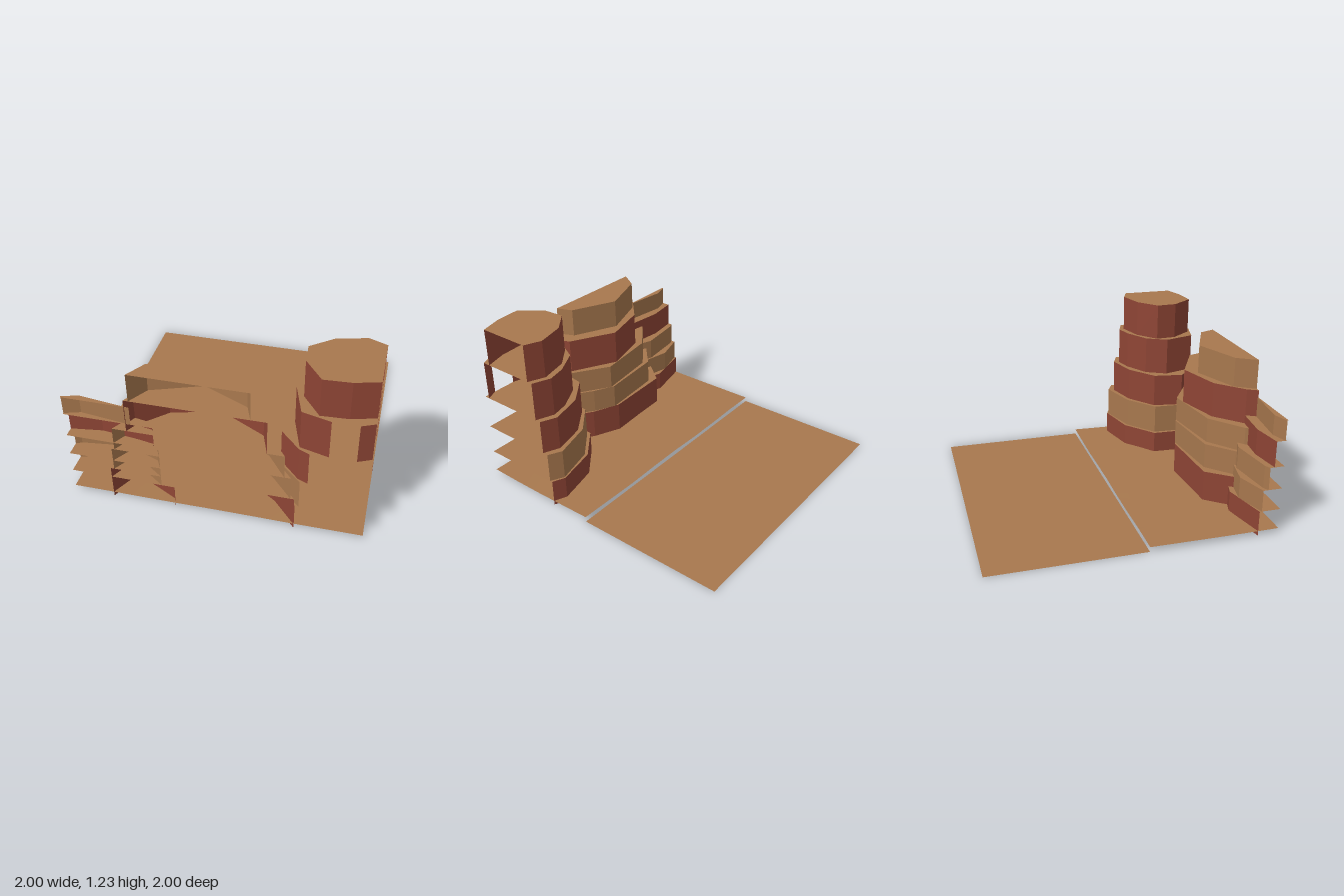
import * as THREE from 'three';

const sandstone = new THREE.MeshStandardMaterial({ color: 0xa8784e, side: THREE.DoubleSide });
sandstone.name = 'sandstone';
const redRock = new THREE.MeshStandardMaterial({ color: 0x8f4535, side: THREE.DoubleSide });
redRock.name = 'redRock';

// Upright open band along one or more runs of [x, z] points
function wall(runs, y0, y1) {
  const pos = [];
  for (const run of runs) {
    for (let i = 0; i + 1 < run.length; i++) {
      const [ax, az] = run[i], [bx, bz] = run[i + 1];
      pos.push(ax, y0, az, bx, y0, bz, bx, y1, bz, ax, y0, az, bx, y1, bz, ax, y1, az);
    }
  }
  const g = new THREE.BufferGeometry();
  g.setAttribute('position', new THREE.Float32BufferAttribute(pos, 3));
  g.computeVertexNormals();
  return g;
}

// Flat shelf closing the top of a tier
function shelf(points, y) {
  const shape = new THREE.Shape(points.map(([x, z]) => new THREE.Vector2(x, -z)));
  return new THREE.ShapeGeometry(shape).rotateX(-Math.PI / 2).translate(0, y, 0);
}

// Stack of receding tiers, cut off by the edge of the tile
function butte(name, heights, tiers, corner = []) {
  const group = new THREE.Group();
  group.name = name;
  tiers.forEach(({ rock, runs, closed }, i) => {
    const band = new THREE.Mesh(wall(runs, heights[i], heights[i + 1]), rock);
    band.name = name + 'Wall' + (i + 1);
    const outline = closed ? runs.flat() : [...runs.flat(), ...corner];
    const top = new THREE.Mesh(shelf(outline, heights[i + 1]), sandstone);
    top.name = name + 'Shelf' + (i + 1);
    group.add(band, top);
  });
  return group;
}

const red = (...runs) => ({ rock: redRock, runs });
const tan = (...runs) => ({ rock: sandstone, runs });

export function createModel() {
  const model = new THREE.Group();
  model.name = 'canyonTile';

  // Rear ground, flat and slightly lower
  const rear = new THREE.Mesh(new THREE.PlaneGeometry(2, 1.085).rotateX(-Math.PI / 2), sandstone);
  rear.name = 'rearGround';
  rear.position.z = -0.4575;
  model.add(rear);

  // Front ground, gently uneven
  const frontGeo = new THREE.PlaneGeometry(2, 0.915, 8, 4).rotateX(-Math.PI / 2).translate(0, 0, 0.5425);
  const p = frontGeo.attributes.position;
  for (let i = 0; i < p.count; i++) {
    p.setY(i, 0.034 + 0.005 * Math.sin(p.getX(i) * 7 + 1) * Math.cos(p.getZ(i) * 5));
  }
  frontGeo.computeVertexNormals();
  const front = new THREE.Mesh(frontGeo, sandstone);
  front.name = 'frontGround';
  model.add(front);

  // Tall tower in the corner
  model.add(butte('tower', [0, 0.2, 0.42, 0.672, 0.955, 1.225], [
    red([[1, 0.39], [0.91, 0.35], [0.61, 0.42], [0.39, 0.6], [0.38, 0.83], [0.545, 1]]),
    tan([[1, 0.41], [0.905, 0.36], [0.62, 0.44], [0.415, 0.61], [0.4, 0.84], [0.57, 1]]),
    red([[1, 0.45], [0.885, 0.4], [0.65, 0.46], [0.45, 0.61], [0.415, 0.83], [0.55, 0.97], [0.62, 1]]),
    red([[1, 0.49], [0.87, 0.44], [0.74, 0.47], [0.56, 0.57], [0.48, 0.72], [0.55, 0.95], [0.74, 1]],
      [[0.91, 1], [1, 0.96]]),
    red([[1, 0.53], [0.88, 0.48], [0.68, 0.53], [0.53, 0.65], [0.54, 0.8], [0.66, 0.96], [0.84, 0.95], [1, 0.905]]),
  ].map((t, i) => ({ ...t, closed: i > 2 })), [[1, 1]]));

  // Broad mesa in the middle
  model.add(butte('middleMesa', [0, 0.26, 0.44, 0.62, 0.872, 1.08], [
    red([[0.54, 1], [0.38, 0.83], [0.22, 0.72], [0.02, 0.635], [-0.49, 0.66], [-0.63, 0.84], [-0.715, 1]]),
    tan([[0.515, 1], [0.37, 0.84], [0.2, 0.72], [0.05, 0.645], [-0.42, 0.69], [-0.59, 0.85], [-0.69, 1]]),
    tan([[0.47, 1], [0.34, 0.83], [0.07, 0.655], [-0.38, 0.715], [-0.61, 0.9], [-0.67, 1]]),
    red([[0.355, 1], [0.3, 0.84], [-0.02, 0.67], [-0.35, 0.76], [-0.53, 0.93], [-0.57, 1]]),
    tan([[0.25, 1], [0.205, 0.885], [-0.11, 0.74], [-0.45, 0.865], [-0.535, 1]]),
  ]));

  // Low mesa at the tile's edge
  model.add(butte('lowMesa', [0, 0.18, 0.335, 0.497, 0.68, 0.82], [
    red([[-0.27, 1], [-0.29, 0.96], [-0.6, 0.805], [-0.68, 0.78], [-1, 0.85]]),
    tan([[-0.36, 1], [-0.59, 0.84], [-0.78, 0.8], [-1, 0.865]]),
    tan([[-0.36, 1], [-0.4, 0.93], [-0.64, 0.84], [-0.96, 0.88], [-1, 0.9]]),
    red([[-0.39, 1], [-0.41, 0.95], [-0.52, 0.93], [-0.78, 0.9], [-1, 0.93]]),
    tan([[-0.535, 1], [-0.89, 0.955], [-1, 0.99]]),
  ], [[-1, 1]]));

  return model;
}
